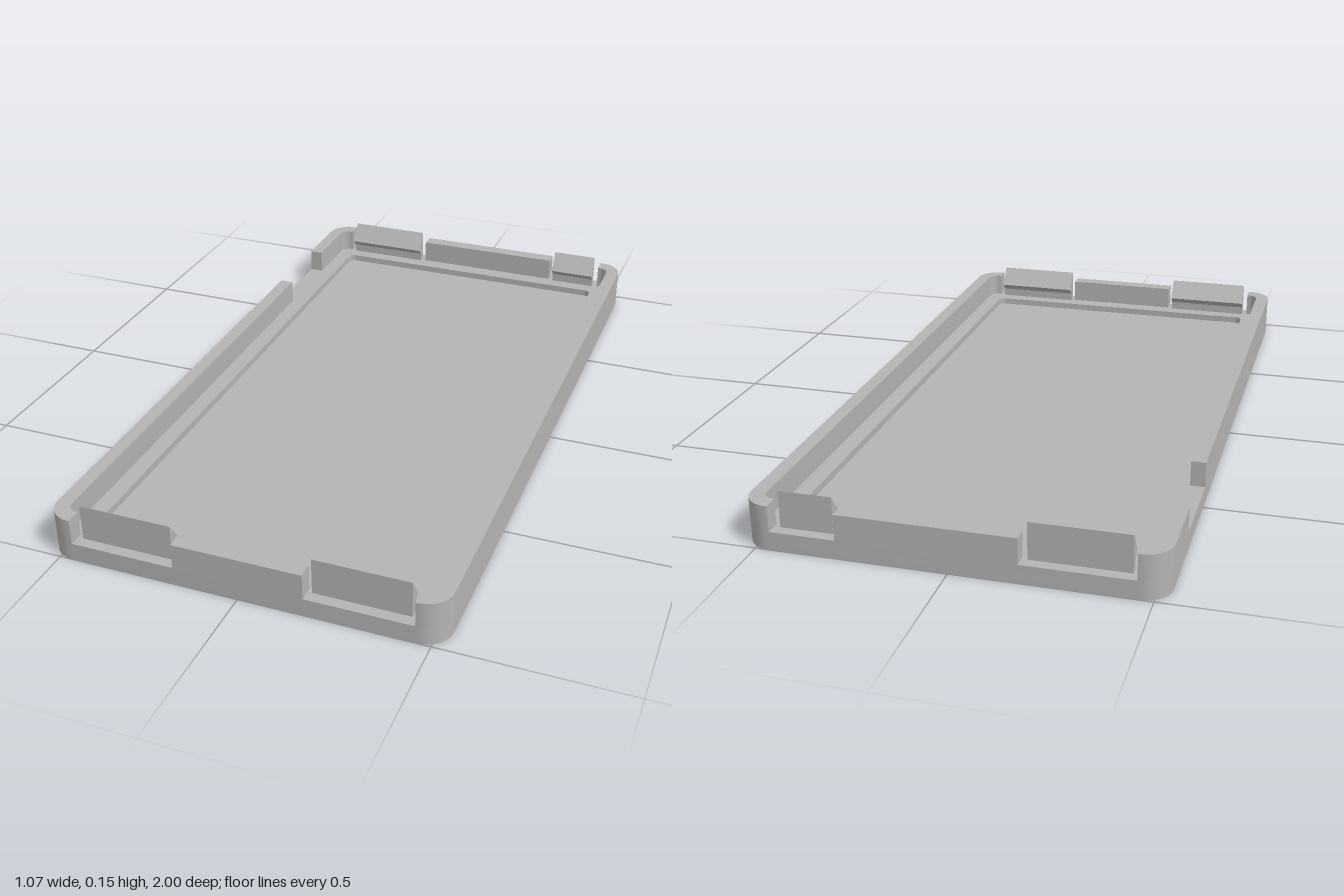
import * as THREE from 'three';
import { toCreasedNormals } from 'three/addons/utils/BufferGeometryUtils.js';

const LEDGE = 0.05, FLOOR = 0.03, RIM = 0.12;
const OUTER = [0.535, 1, 0.07], INNER = [0.495, 0.957, 0.03], RECESS = [0.448, 0.908, 0.02];

// Points of one rounded corner, running from the long side (x) to the short side (z)
function corner(sx, sz, [hx, hz, r]) {
  const points = [];
  for (let i = 0; i <= 10; i++) {
    const a = (i / 10) * Math.PI / 2;
    points.push(new THREE.Vector2(sx * (hx - r + r * Math.cos(a)), sz * (hz - r + r * Math.sin(a))));
  }
  return points;
}

const roundedRect = (size) => [
  ...corner(1, 1, size), ...corner(-1, 1, size).reverse(),
  ...corner(-1, -1, size), ...corner(1, -1, size).reverse(),
];

// Extrude a plan outline (x, z) between two heights
function slab(outline, y0, y1, hole) {
  const shape = new THREE.Shape(outline);
  if (hole) shape.holes.push(new THREE.Path(hole));
  const geometry = new THREE.ExtrudeGeometry(shape, { depth: y1 - y0, bevelEnabled: false });
  geometry.rotateX(Math.PI / 2).translate(0, y1, 0);
  return toCreasedNormals(geometry, 0.6);
}

export function createModel() {
  const group = new THREE.Group();
  const grey = new THREE.MeshStandardMaterial({ color: 0xb4b4b4 });
  grey.name = 'grey plastic';

  function add(name, geometry) {
    const mesh = new THREE.Mesh(geometry, grey);
    mesh.name = name;
    group.add(mesh);
    return mesh;
  }

  // Bottom plate and the ledge round its shallow recess
  add('floor', slab(roundedRect(OUTER), 0, FLOOR));
  add('ledge', slab(roundedRect(OUTER), FLOOR, LEDGE, roundedRect(RECESS)));

  // Rim walls, interrupted by the clip notches and the side opening
  const v = (x, z) => new THREE.Vector2(x, z);
  const wallPaths = {
    leftWall: (s) => [v(0.46, s[1]), ...corner(1, 1, s).reverse(), ...corner(1, -1, s), v(0.46, -s[1])],
    rightFrontWall: (s) => [v(-0.46, s[1]), ...corner(-1, 1, s).reverse(), v(-s[0], -0.48)],
    rightBackWall: (s) => [v(-s[0], -0.74), ...corner(-1, -1, s), v(-0.46, -s[1])],
    frontWall: (s) => [v(-0.175, s[1]), v(0.175, s[1])],
    backWall: (s) => [v(-0.175, -s[1]), v(0.287, -s[1])],
  };
  for (const [name, path] of Object.entries(wallPaths)) {
    add(name, slab([...path(OUTER), ...path(INNER).reverse()], LEDGE, RIM));
  }

  // Snap clips: thin upright with a wedge hook pointing inward
  const profile = [[0.97, LEDGE], [0.97, 0.15], [0.93, 0.095], [0.95, 0.075], [0.95, LEDGE]];
  function clip(name, x0, x1, side) {
    const shape = new THREE.Shape(profile.map(([z, y]) => v(side * z, y)));
    const geometry = new THREE.ExtrudeGeometry(shape, { depth: x1 - x0, bevelEnabled: false });
    // profile axis to z, extrusion axis to x
    geometry.rotateY(-Math.PI / 2).translate(x1, 0, 0);
    add(name, geometry);
  }
  clip('frontRightClip', -0.445, -0.19, 1);
  clip('frontLeftClip', 0.187, 0.443, 1);
  clip('backRightClip', -0.445, -0.19, -1);
  clip('backLeftClip', 0.302, 0.443, -1);

  return group;
}
